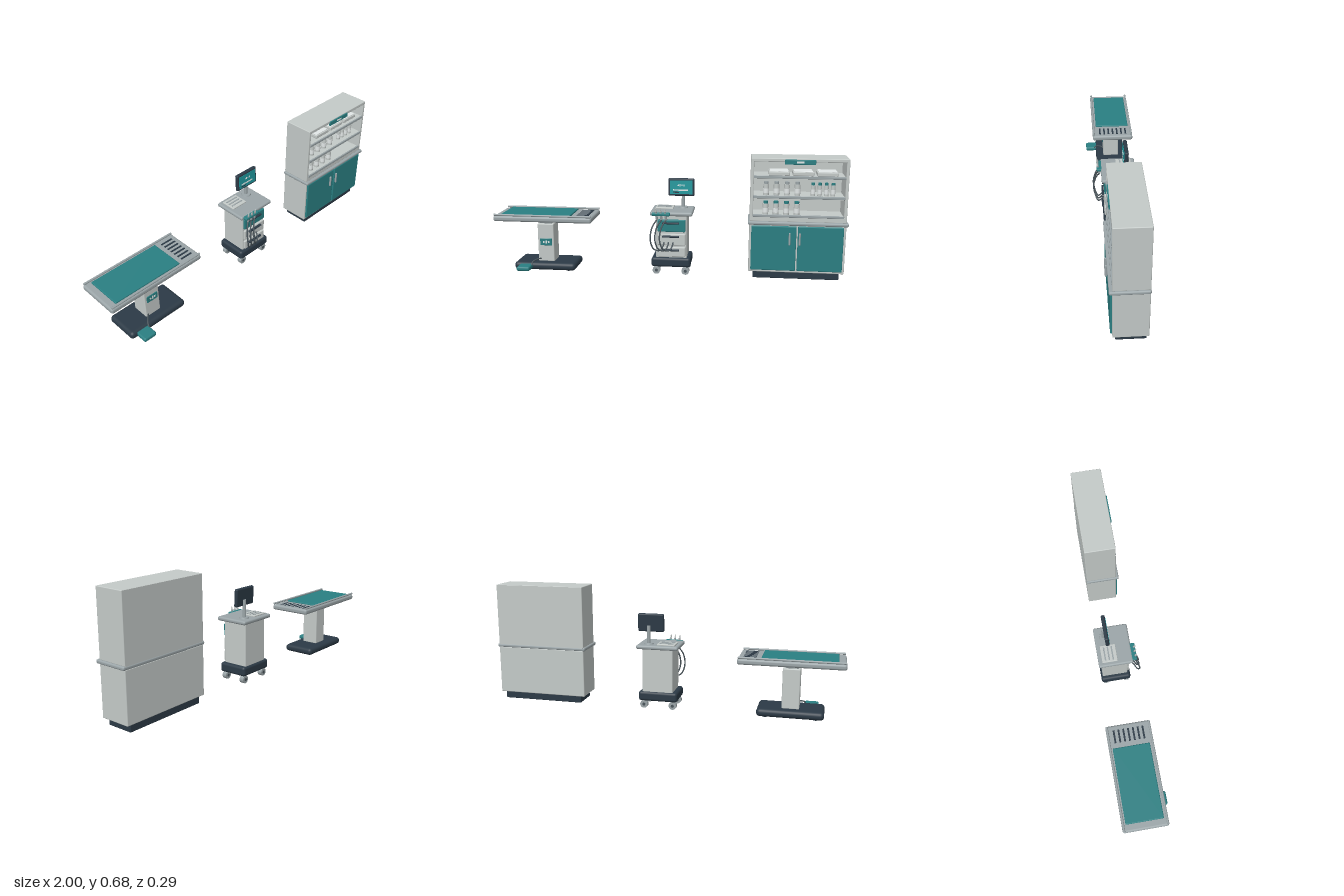
import * as THREE from 'three';
import { RoundedBoxGeometry } from 'three/addons/geometries/RoundedBoxGeometry.js';

const mat = (name, color) => {
  const m = new THREE.MeshStandardMaterial({ color });
  m.name = name;
  return m;
};

export function createModel() {
  const shell = mat('light shell', 0xc4cac8);
  const metal = mat('grey metal', 0x9ba5a8);
  const teal = mat('teal', 0x2a7f82);
  const dark = mat('dark navy', 0x2c3a46);
  const screen = mat('screen teal', 0x1f979c);
  const white = mat('white', 0xe4e9e9);
  const hoseGrey = mat('hose grey', 0x4a555b);

  const root = new THREE.Group();
  const group = (name) => {
    const g = new THREE.Group();
    g.name = name;
    root.add(g);
    return g;
  };
  const add = (parent, name, geo, material, x = 0, y = 0, z = 0) => {
    const m = new THREE.Mesh(geo, material);
    m.name = name;
    m.position.set(x, y, z);
    parent.add(m);
    return m;
  };
  // Box given by its limits on each axis, rounded when r > 0
  const box = (parent, name, material, [x0, x1], [y0, y1], [z0, z1], r = 0) => {
    const s = [x1 - x0, y1 - y0, z1 - z0];
    const geo = r ? new RoundedBoxGeometry(...s, 3, Math.min(r, Math.min(...s) * 0.48)) : new THREE.BoxGeometry(...s);
    return add(parent, name, geo, material, (x0 + x1) / 2, (y0 + y1) / 2, (z0 + z1) / 2);
  };
  const cyl = (parent, name, material, r0, r1, h, x, y, z, seg = 16) =>
    add(parent, name, new THREE.CylinderGeometry(r0, r1, h, seg), material, x, y, z);
  const tube = (parent, name, material, points, r, seg = 40) => {
    const curve = new THREE.CatmullRomCurve3(points.map((p) => new THREE.Vector3(...p)));
    return add(parent, name, new THREE.TubeGeometry(curve, seg, r, 8), material);
  };

  // ---------- Treatment table ----------
  const table = group('treatmentTable');
  box(table, 'tableBase', dark, [-0.896, -0.532], [0.004, 0.048], [-0.115, 0.08], 0.02);
  for (const x of [-0.85, -0.578]) for (const z of [-0.08, 0.045])
    cyl(table, 'baseFoot', dark, 0.015, 0.015, 0.008, x, 0.004, z);
  box(table, 'column', shell, [-0.762, -0.666], [0.045, 0.272], [-0.068, 0.032], 0.006);
  box(table, 'columnNeck', metal, [-0.75, -0.678], [0.27, 0.3], [-0.055, 0.02], 0.004);
  box(table, 'tableTop', metal, [-1, -0.425], [0.296, 0.328], [-0.142, 0.107], 0.012);
  box(table, 'tablePad', teal, [-0.96, -0.553], [0.32, 0.336], [-0.121, 0.084], 0.005);
  for (const z of [-0.134, 0.1]) {
    const rail = cyl(table, 'sideRail', metal, 0.006, 0.006, 0.565, -0.7125, 0.334, z, 12);
    rail.rotation.z = Math.PI / 2;
  }
  for (let i = 0; i < 7; i++) {
    const z = -0.1 + i * 0.0268;
    box(table, 'drainSlot', dark, [-0.525, -0.453], [0.326, 0.33], [z - 0.005, z + 0.005]);
  }
  // Column control panel
  box(table, 'controlPanel', teal, [-0.748, -0.678], [0.143, 0.184], [0.031, 0.036], 0.002);
  [0.012, 0.02, 0.012].forEach((h, i) => {
    const x = -0.73 + i * 0.014;
    box(table, 'panelMark', white, [x, x + 0.009], [0.164 - h / 2, 0.164 + h / 2], [0.035, 0.037]);
  });
  // Foot pedal and cord
  box(table, 'footPedal', teal, [-0.862, -0.785], [0.014, 0.04], [0.06, 0.145], 0.01);
  tube(table, 'pedalCord', hoseGrey, [[-0.79, 0.035, 0.09], [-0.785, 0.052, 0.075], [-0.765, 0.062, 0.05], [-0.745, 0.062, 0.028]], 0.004, 16);

  // ---------- Instrument cart ----------
  const cart = group('instrumentCart');
  box(cart, 'cartBase', dark, [-0.088, 0.136], [0.045, 0.1], [-0.109, 0.066], 0.015);
  for (const x of [-0.06, 0.107]) for (const z of [-0.083, 0.042]) {
    const wheel = cyl(cart, 'casterWheel', metal, 0.022, 0.022, 0.026, x, 0.022, z, 20);
    wheel.rotation.x = Math.PI / 2;
    const hub = cyl(cart, 'casterHub', hoseGrey, 0.009, 0.009, 0.03, x, 0.022, z, 12);
    hub.rotation.x = Math.PI / 2;
    cyl(cart, 'casterStem', hoseGrey, 0.008, 0.008, 0.02, x, 0.045, z, 10);
  }
  box(cart, 'cartBody', shell, [-0.062, 0.114], [0.095, 0.35], [-0.1, 0.05], 0.006);
  box(cart, 'cartTop', metal, [-0.094, 0.146], [0.346, 0.369], [-0.12, 0.077], 0.01);
  // Drawers
  [[0.252, 0.322, teal, 0.304], [0.174, 0.24, shell, 0.226], [0.106, 0.163, shell, 0.147]].forEach(([y0, y1, m, hy]) => {
    box(cart, 'drawerFront', m, [-0.052, 0.106], [y0, y1], [0.045, 0.062], 0.005);
    box(cart, 'drawerHandle', dark, [-0.025, 0.072], [hy - 0.005, hy + 0.005], [0.06, 0.074], 0.004);
  });
  // Keyboard on the worktop
  box(cart, 'keyboardTray', shell, [-0.073, 0.03], [0.367, 0.376], [-0.098, -0.01], 0.003);
  for (let i = 0; i < 3; i++) {
    const z = -0.078 + i * 0.022;
    box(cart, 'keyRow', metal, [-0.062, 0.018], [0.375, 0.378], [z - 0.004, z + 0.004]);
  }
  // Monitor
  cyl(cart, 'monitorFoot', metal, 0.025, 0.028, 0.008, 0.083, 0.372, -0.065, 20);
  cyl(cart, 'monitorStem', metal, 0.01, 0.01, 0.11, 0.083, 0.42, -0.068);
  const monitor = new THREE.Group();
  monitor.name = 'monitor';
  monitor.position.set(0.072, 0.49, -0.057);
  monitor.rotation.x = -0.05;
  cart.add(monitor);
  box(monitor, 'monitorCase', dark, [-0.075, 0.075], [-0.051, 0.051], [-0.011, 0.011], 0.008);
  box(monitor, 'monitorScreen', screen, [-0.064, 0.064], [-0.039, 0.039], [0.009, 0.013]);
  box(monitor, 'screenBar', white, [-0.048, 0.038], [-0.02, -0.012], [0.012, 0.014]);
  box(monitor, 'screenProgress', dark, [-0.048, -0.012], [-0.032, -0.026], [0.012, 0.014]);
  [0.008, 0.014, 0.006, 0.012].forEach((h, i) =>
    box(monitor, 'screenTrace', white, [-0.02 + i * 0.011, -0.014 + i * 0.011], [0.012 - h / 2, 0.012 + h / 2], [0.012, 0.014]));
  // Tool holder, handpieces and hoses
  box(cart, 'toolHolder', teal, [-0.08, 0.022], [0.351, 0.367], [0.07, 0.1], 0.005);
  for (let i = 0; i < 3; i++) {
    const x = -0.055 + i * 0.026;
    const piece = new THREE.Group();
    piece.name = 'handpiece';
    piece.position.set(x, 0.358, 0.091);
    piece.rotation.set(0.22, 0, 0.12);
    cart.add(piece);
    cyl(piece, 'handpieceBody', metal, 0.006, 0.007, 0.05, 0, -0.006, 0, 12);
    cyl(piece, 'handpieceTip', shell, 0.003, 0.005, 0.02, 0, 0.028, 0, 10);
    tube(cart, 'hose', hoseGrey, [
      [x + 0.003, 0.328, 0.084], [x - 0.022, 0.285, 0.104], [x - 0.03, 0.215, 0.118],
      [x - 0.01, 0.16, 0.106], [x + 0.022, 0.152, 0.092], [x + 0.038, 0.178, 0.072], [x + 0.04, 0.2, 0.05]], 0.004);
  }

  // ---------- Storage cabinet ----------
  const cabinet = group('storageCabinet');
  const width = [0.464, 0.99], depth = [-0.105, 0.07];
  box(cabinet, 'plinth', dark, [0.49, 0.965], [0, 0.042], [-0.095, 0.055], 0.004);
  box(cabinet, 'lowerCabinet', shell, width, [0.04, 0.315], depth, 0.005);
  box(cabinet, 'counter', metal, [0.455, 1], [0.312, 0.332], [-0.107, 0.086], 0.008);
  // Open upper cabinet
  box(cabinet, 'backPanel', shell, [0.47, 0.984], [0.33, 0.68], [-0.105, -0.09]);
  box(cabinet, 'topPanel', shell, width, [0.662, 0.682], depth, 0.004);
  box(cabinet, 'bottomPanel', shell, width, [0.33, 0.362], depth, 0.004);
  box(cabinet, 'sidePanel', shell, [0.464, 0.481], [0.33, 0.682], depth, 0.004);
  box(cabinet, 'sidePanel', shell, [0.973, 0.99], [0.33, 0.682], depth, 0.004);
  for (const y of [0.465, 0.576]) {
    box(cabinet, 'shelf', shell, [0.48, 0.974], [y - 0.007, y + 0.007], [-0.095, 0.065]);
    box(cabinet, 'shelfLip', metal, [0.48, 0.974], [y - 0.005, y + 0.011], [0.064, 0.073], 0.003);
  }
  box(cabinet, 'shelfLip', metal, [0.48, 0.974], [0.355, 0.37], [0.064, 0.073], 0.003);
  // Doors with upright handles
  [[0.475, 0.722, 0.685], [0.73, 0.977, 0.74]].forEach(([x0, x1, hx]) => {
    box(cabinet, 'door', teal, [x0, x1], [0.053, 0.307], [0.066, 0.08], 0.005);
    box(cabinet, 'doorHandle', metal, [hx - 0.005, hx + 0.005], [0.202, 0.272], [0.08, 0.092], 0.004);
  });
  // Header plate
  box(cabinet, 'headerPlate', teal, [0.645, 0.81], [0.649, 0.676], [0.066, 0.076], 0.003);
  box(cabinet, 'headerMark', white, [0.708, 0.748], [0.658, 0.668], [0.075, 0.077]);
  // Trays on the top shelf
  for (let i = 0; i < 3; i++) {
    const x = 0.562 + i * 0.131;
    box(cabinet, 'supplyTray', shell, [x, x + 0.113], [0.583, 0.604], [-0.06, 0.045], 0.004);
    box(cabinet, 'trayLid', white, [x + 0.006, x + 0.107], [0.603, 0.608], [-0.054, 0.039], 0.002);
  }
  // Bottles and vials
  const bottle = (name, x, y, r, h, capMat) => {
    cyl(cabinet, name, shell, r, r, h, x, y + h / 2, 0.025, 16);
    cyl(cabinet, name + 'Cap', capMat, r * 0.8, r * 0.8, 0.014, x, y + h + 0.006, 0.025, 16);
    cyl(cabinet, name + 'Label', white, r * 1.03, r * 1.03, h * 0.4, x, y + h * 0.4, 0.025, 16);
  };
  for (let i = 0; i < 4; i++) {
    const x = 0.55 + i * 0.057;
    bottle('bottle', x, 0.472, 0.016, 0.063, metal);
    bottle('jar', x, 0.362, 0.016, 0.063, teal);
    bottle('vial', 0.805 + i * 0.036, 0.472, 0.012, 0.06, teal);
  }

  return root;
}
